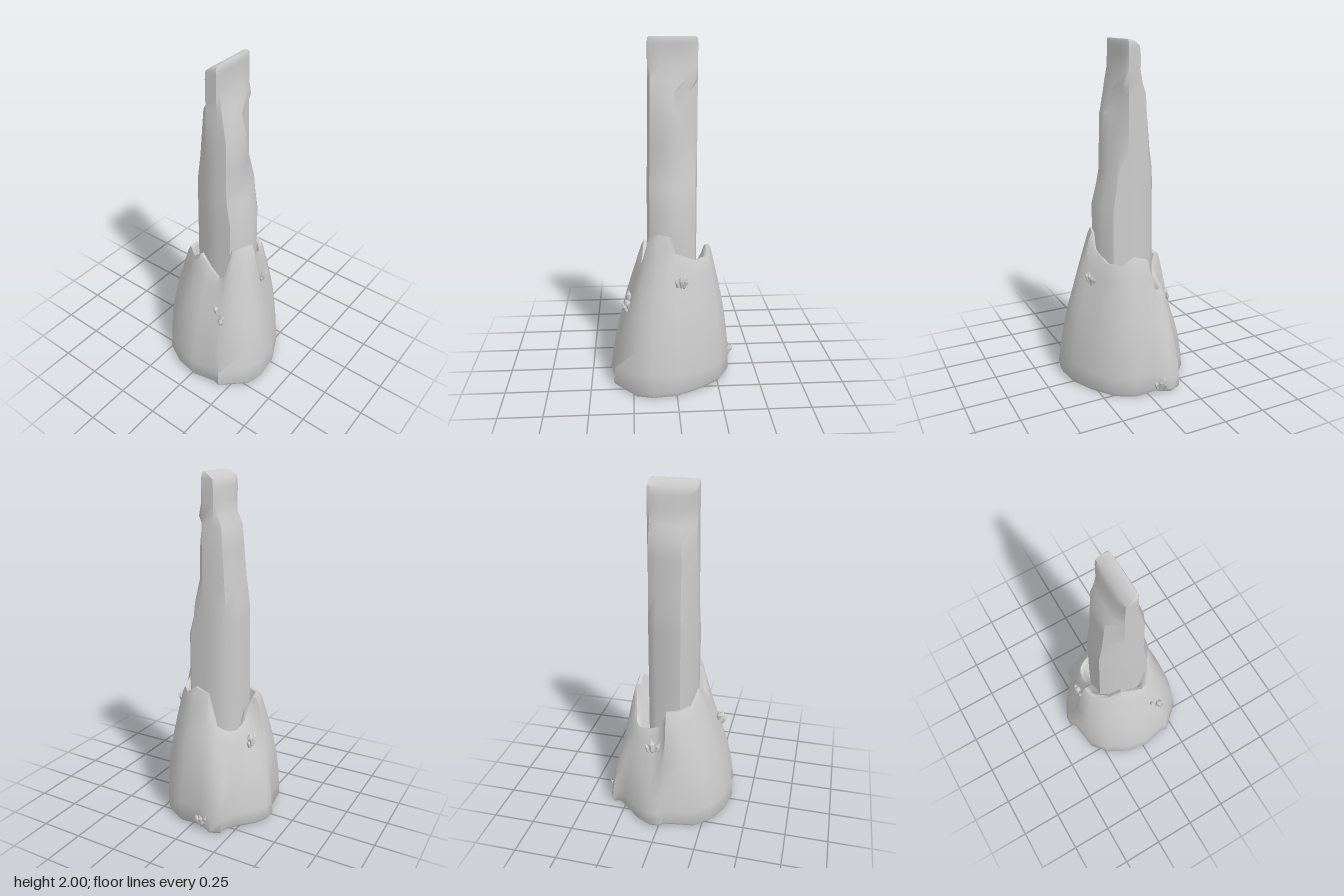
import * as THREE from 'three';
import { toCreasedNormals } from 'three/addons/utils/BufferGeometryUtils.js';

const rock = new THREE.MeshStandardMaterial({ color: 0xcccccc });
const facet = new THREE.MeshStandardMaterial({ color: 0xcccccc, flatShading: true });

// Skin a stack of closed rings (clockwise seen from above) and cap both ends
function loft(rings, crease) {
  const n = rings[0].length, pos = rings.flat(2), index = [];
  for (let i = 0; i < rings.length - 1; i++) {
    for (let j = 0; j < n; j++) {
      const a = i * n + j, b = i * n + (j + 1) % n;
      index.push(b, a, a + n, b, a + n, b + n);
    }
  }
  const cap = (ring, start, up) => {
    const c = pos.length / 3;
    for (let k = 0; k < 3; k++) pos.push(ring.reduce((s, p) => s + p[k], 0) / n);
    for (let j = 0; j < n; j++) {
      const a = start + j, b = start + (j + 1) % n;
      if (up) index.push(c, b, a); else index.push(c, a, b);
    }
  };
  cap(rings[0], 0, false);
  cap(rings[rings.length - 1], (rings.length - 1) * n, true);
  const g = new THREE.BufferGeometry();
  g.setAttribute('position', new THREE.Float32BufferAttribute(pos, 3));
  g.setIndex(index);
  return toCreasedNormals(g, crease);
}

// Base columns: foot x, foot z, rim x, rim z, rim height
const columns = [
  [0, -.37, .0, -.20, .66], [.06, -.37, .04, -.20, .60], [.14, -.33, .09, -.20, .58],
  [.25, -.23, .14, -.19, .57], [.30, -.195, .17, -.17, .57], [.34, -.20, .19, -.14, .58],
  [.365, -.14, .20, -.10, .60], [.32, -.05, .21, -.05, .79], [.33, .08, .21, .04, .82],
  [.27, .19, .19, .11, .77], [.15, .28, .12, .17, .77], [0, .355, .0, .19, .82],
  [-.06, .36, -.03, .20, .92], [-.14, .37, -.10, .18, .93], [-.24, .345, -.15, .14, .91],
  [-.37, .20, -.19, .11, .74], [-.36, .16, -.20, .08, .71], [-.39, .02, -.19, .0, .76],
  [-.37, -.11, -.18, -.07, .82], [-.30, -.24, -.15, -.15, .74], [-.21, -.315, -.09, -.23, .74],
  [-.03, -.34, -.02, -.24, .73],
];

function baseGeometry() {
  const rings = [columns.map(([x, z]) => [x * .96, 0, z * .96])];
  // Outer wall, swelling a little between foot and rim
  for (const f of [.03, .15, .3, .45, .6, .75, .88, .96]) {
    const s = 1 + .1 * Math.sin(Math.PI * f);
    rings.push(columns.map(([x, z, rx, rz, ry]) =>
      [(x + (rx - x) * f) * s, ry * f, (z + (rz - z) * f) * s]));
  }
  // Rounded rim, then down the inside towards the pillar
  for (const [s, dy] of [[.97, 0], [.88, -.005], [.78, -.06], [.55, -.14]]) {
    rings.push(columns.map(([, , rx, rz, ry]) => [rx * s, ry + dy, rz * s]));
  }
  return loft(rings, 0.9);
}

// Pillar sections: height, left edge, right edge, front depth, back depth
const sections = [
  [.45, -.155, .13, .18, -.16], [.80, -.155, .13, .18, -.16], [1.08, -.155, .13, .178, -.155],
  [1.20, -.155, .13, .145, -.155], [1.28, -.152, .13, .13, -.152], [1.42, -.15, .13, .127, -.132],
  [1.60, -.148, .13, .122, -.115], [1.71, -.146, .13, .09, -.105], [1.77, -.145, .13, .075, -.07],
  [1.84, -.145, .13, .052, -.048], [1.92, -.145, .13, .045, -.045], [1.965, -.145, .13, .045, -.03],
  [1.99, -.143, .128, .045, .0], [2.0, -.135, .12, .04, .02],
];
// Unit outline: across, depth beyond the slab core (negative is back)
const outline = [
  [-.5, -1], [.5, -.95], [.88, -.6], [1, -.0001], [1, .0001], [.9, .6],
  [.45, .92], [0, 1], [-.5, .93], [-.92, .6], [-1, .0001], [-1, -.0001],
];

function pillarGeometry() {
  return loft(sections.map(([y, l, r, front, back]) => outline.map(([u, d]) => {
    const end = d > 0 ? front : back;
    const core = d > 0 ? Math.min(.035, front) : Math.max(-.035, back);
    // Shallow worn hollow on the front left edge
    const worn = u > .4 && d > .5 && y > 1.4 && y < 1.75 ? .03 : 0;
    return [(l + r) / 2 + u * (r - l) / 2 - worn, y, core + (end - core) * Math.abs(d) - worn * .5];
  })), 0.7);
}

// Six-sided crystal with pointed ends
const crystalGeometry = new THREE.LatheGeometry(
  [[0, 0], [.75, .15], [1, .65], [0, 1]].map(([x, y]) => new THREE.Vector2(x, y)), 6);

// Each crystal: offset x, y, z, lean direction x, z, length, radius
function cluster(name, x, y, z, shards) {
  const g = new THREE.Group();
  g.name = name;
  g.position.set(x, y, z);
  for (const [dx, dy, dz, lx, lz, len, rad] of shards) {
    const m = new THREE.Mesh(crystalGeometry, facet);
    m.name = 'crystal';
    m.position.set(dx, dy, dz);
    m.scale.set(rad, len, rad);
    m.quaternion.setFromUnitVectors(new THREE.Vector3(0, 1, 0), new THREE.Vector3(lx, 1, lz).normalize());
    g.add(m);
  }
  return g;
}

export function createModel() {
  const model = new THREE.Group();
  model.name = 'rockSpire';
  const add = (name, geometry) => {
    const m = new THREE.Mesh(geometry, rock);
    m.name = name;
    model.add(m);
  };
  add('rockBase', baseGeometry());
  add('stonePillar', pillarGeometry());

  model.add(
    cluster('frontCrystals', .03, .62, .225, [
      [-.02, .01, .01, -.2, .2, .06, .011], [0, 0, 0, -.05, .2, .085, .013],
      [.012, 0, .005, .3, .1, .08, .012], [.02, .01, -.005, .5, -.1, .05, .01],
      [-.12, .0, .0, .4, .2, .04, .008]]),
    cluster('rightCrystals', -.265, .45, .13, [
      [0, .01, .01, -.3, .4, .09, .02], [-.015, 0, .03, -.4, .1, .07, .016],
      [0, .05, -.01, -.1, -.2, .07, .015]]),
    cluster('leftCrystals', .335, .02, -.07, [
      [0, 0, 0, .3, 0, .085, .014], [.01, 0, -.01, .6, -.3, .08, .013],
      [0, 0, .01, .1, .4, .07, .012], [0, .01, -.015, .1, -.3, .07, .012]]),
    cluster('backCrystals', .06, .45, -.25, [
      [0, 0, 0, .1, .1, .09, .02], [-.02, 0, 0, -.3, .1, .08, .016],
      [.02, 0, 0, .4, .1, .06, .012]]),
  );
  return model;
}
